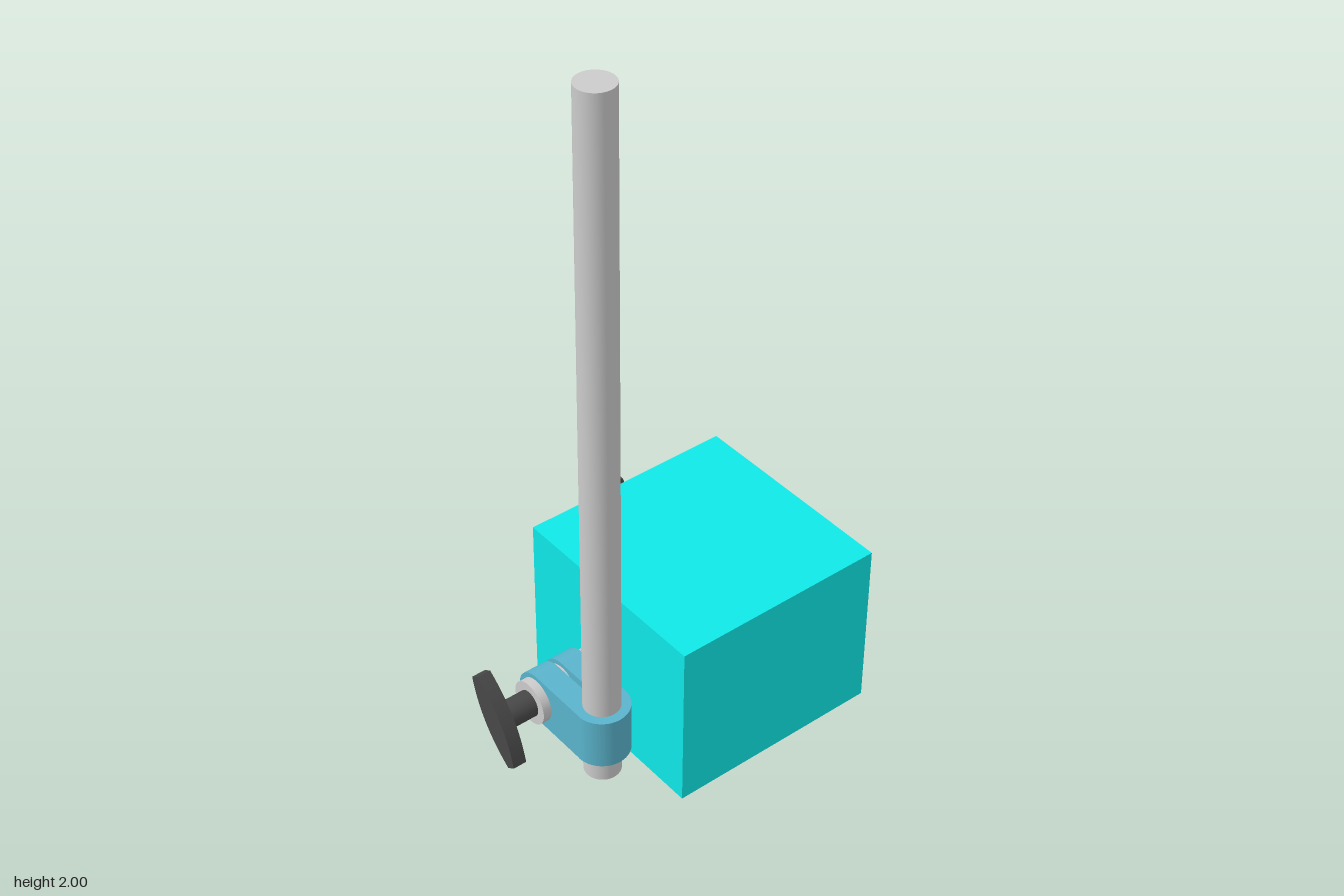
import * as THREE from 'three';

const grey = new THREE.MeshStandardMaterial({ color: 0xcccccc });
const cyan = new THREE.MeshStandardMaterial({ color: 0x10e8e8 });
const blue = new THREE.MeshStandardMaterial({ color: 0x5ab4cc });
const dark = new THREE.MeshStandardMaterial({ color: 0x484848 });

function add(parent, name, geometry, material, x = 0, y = 0, z = 0) {
  const mesh = new THREE.Mesh(geometry, material);
  mesh.name = name;
  mesh.position.set(x, y, z);
  parent.add(mesh);
  return mesh;
}

// Cylinder lying along z, from z0 to z1
function pinZ(parent, name, radius, z0, z1, material) {
  const g = new THREE.CylinderGeometry(radius, radius, z1 - z0, 48).rotateX(Math.PI / 2);
  return add(parent, name, g, material, 0, 0, (z0 + z1) / 2);
}

const extrude = (shape, depth) =>
  new THREE.ExtrudeGeometry(shape, { depth, bevelEnabled: false, curveSegments: 24 });

// Wing knob pointing along +z: round stem and a lens-shaped grip with blunt tips
function wingKnob(name, stemRadius, stemLength, halfLength, halfWidth, tip, thickness) {
  const knob = new THREE.Group();
  knob.name = name;
  pinZ(knob, 'knobStem', stemRadius, 0, stemLength, dark);
  const bulge = 2 * halfWidth - tip;
  const s = new THREE.Shape();
  s.moveTo(tip, -halfLength);
  s.quadraticCurveTo(bulge, 0, tip, halfLength);
  s.lineTo(-tip, halfLength);
  s.quadraticCurveTo(-bulge, 0, -tip, -halfLength);
  s.closePath();
  add(knob, 'knobWing', extrude(s, thickness), dark, 0, 0, stemLength);
  return knob;
}

export function createModel() {
  const model = new THREE.Group();
  model.name = 'magneticStand';

  // Base block and upright rod
  add(model, 'baseBlock', new THREE.BoxGeometry(0.595, 0.475, 0.595), cyan, 0.047, 0.2375, -0.173);
  add(model, 'uprightRod', new THREE.CylinderGeometry(0.047, 0.047, 1.9, 48), grey, 0.213, 1.05, 0.268);

  // Clamp: two round-ended lugs joined by a half ring around the rod
  const clamp = new THREE.Group();
  clamp.name = 'rodClamp';
  model.add(clamp);
  const lug = new THREE.Shape();
  lug.moveTo(0.168, -0.07);
  lug.lineTo(0.168, 0.07);
  lug.lineTo(0, 0.07);
  lug.absarc(0, 0, 0.07, Math.PI / 2, Math.PI * 1.5, false);
  for (const z of [0.197, 0.274]) add(clamp, 'clampLug', extrude(lug, 0.064), blue, 0.045, 0.24, z);
  const ring = new THREE.Shape();
  ring.absarc(0, 0, 0.0705, -Math.PI / 2, Math.PI / 2, false);
  ring.absarc(0, 0, 0.047, Math.PI / 2, -Math.PI / 2, true);
  add(clamp, 'clampBend', extrude(ring, 0.14).rotateX(-Math.PI / 2), blue, 0.213, 0.17, 0.268);

  // Pin from the block through the clamp, with its tightening knob
  const pivot = new THREE.Group();
  pivot.name = 'clampPivot';
  pivot.position.set(0.046, 0.24, 0);
  model.add(pivot);
  pinZ(pivot, 'pivotPin', 0.058, 0.12, 0.361, grey);
  const clampKnob = wingKnob('clampKnob', 0.035, 0.072, 0.121, 0.038, 0.014, 0.037);
  clampKnob.position.z = 0.361;
  clampKnob.rotation.z = 0.6;
  pivot.add(clampKnob);

  // Switch on the side of the block
  const sideSwitch = new THREE.Group();
  sideSwitch.name = 'sideSwitch';
  sideSwitch.position.set(-0.25, 0.242, -0.175);
  sideSwitch.rotation.y = -Math.PI / 2;
  model.add(sideSwitch);
  pinZ(sideSwitch, 'switchPlate', 0.095, -0.005, 0.024, grey);
  const switchKnob = wingKnob('switchKnob', 0.058, 0.026, 0.197, 0.06, 0.023, 0.045);
  switchKnob.position.z = 0.024;
  sideSwitch.add(switchKnob);

  return model;
}
